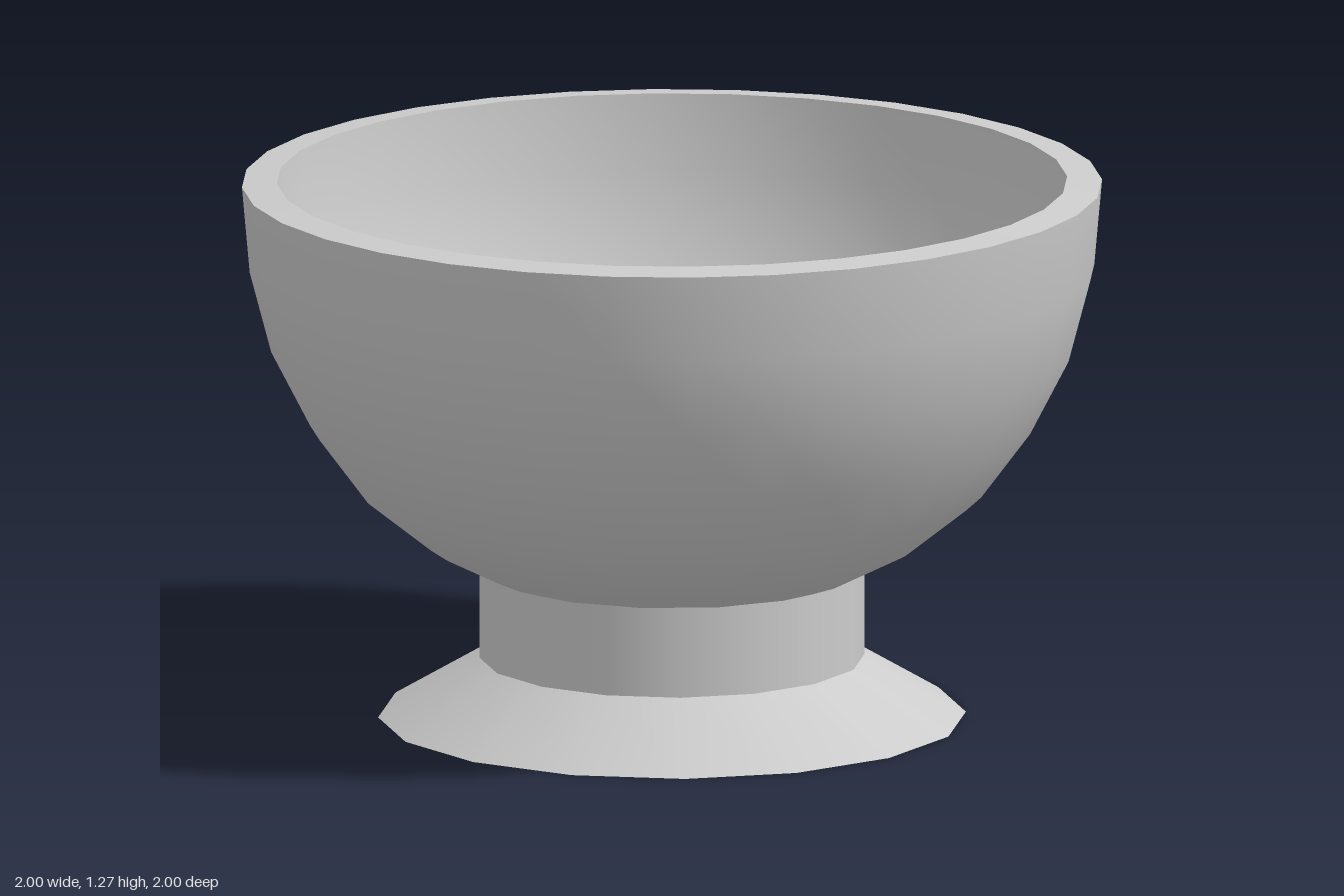
import * as THREE from 'three';

const material = new THREE.MeshStandardMaterial({ color: 0xcccccc });

// Revolved surface: a rising profile faces outward, a falling one inward.
function turned(name, profile, sides) {
  const points = profile.map(([r, y]) => new THREE.Vector2(r, y));
  const mesh = new THREE.Mesh(new THREE.LatheGeometry(points, sides), material);
  mesh.name = name;
  return mesh;
}

export function createModel() {
  const group = new THREE.Group();
  group.name = 'footedBowl';

  // Round bowl: outer shell, rim and hollow inside
  const outer = [
    [0, 0.25], [0.2, 0.27], [0.39, 0.325], [0.575, 0.42], [0.725, 0.54],
    [0.84, 0.695], [0.93, 0.87], [0.98, 1.06], [0.998, 1.262],
  ];
  const inner = [];
  for (let i = 0; i <= 8; i++) {
    const a = (i / 8) * Math.PI / 2;
    inner.push([0.917 * Math.cos(a), 1.27 - 0.925 * Math.sin(a)]);
  }
  inner[8][0] = 0;
  group.add(turned('bowlOutside', outer, 32));
  group.add(turned('bowlRim', [outer[8], inner[0]], 32));
  group.add(turned('bowlInside', inner, 32));

  // Straight stem and flared foot
  group.add(turned('stem', [[0.447, 0.14], [0.447, 0.358]], 16));
  group.add(turned('foot', [[0.682, 0], [0.447, 0.14]], 16));

  // Flat underside
  group.add(turned('footUnderside', [[0, 0], [0.682, 0]], 16));

  return group;
}
